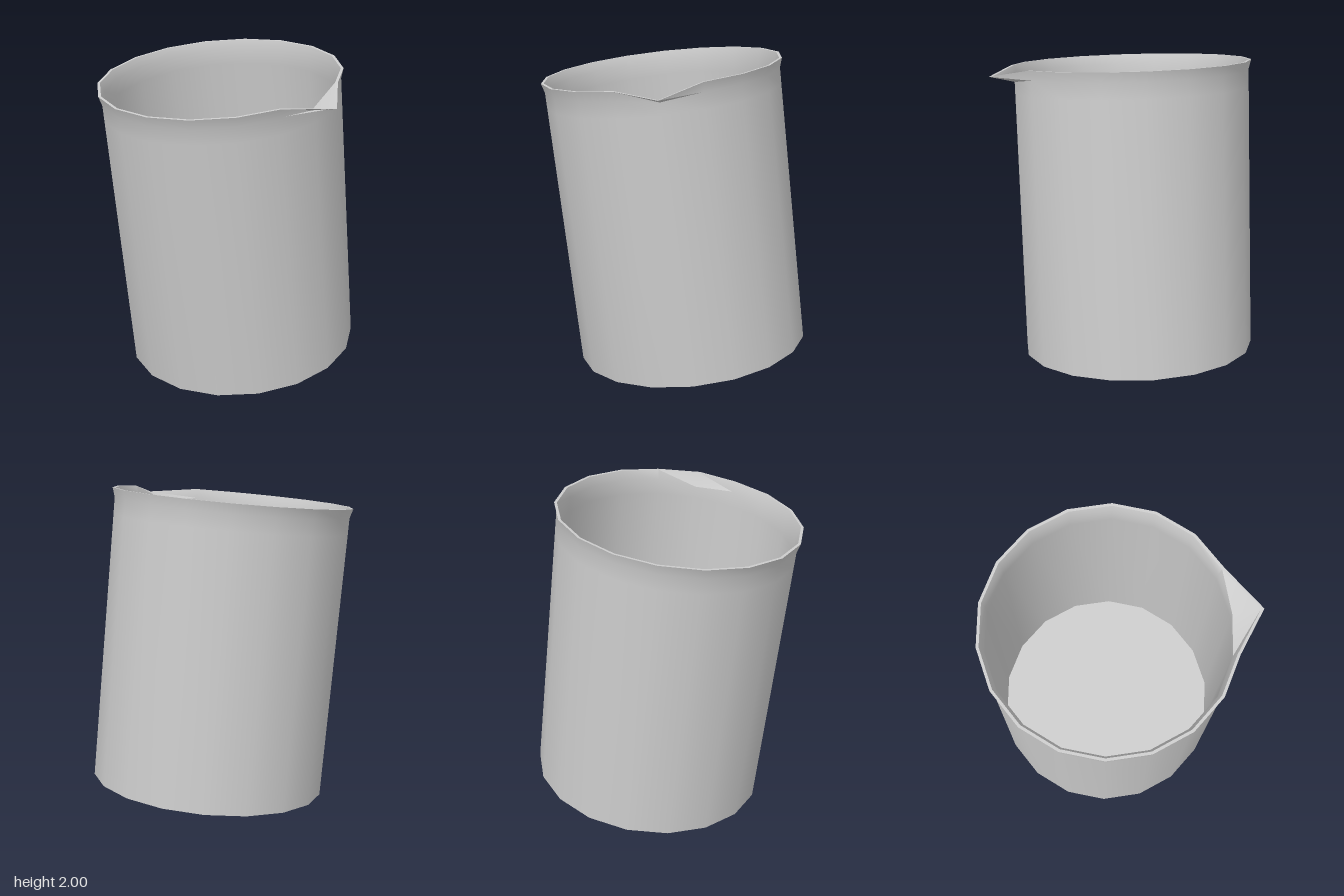
import * as THREE from 'three';
import { toCreasedNormals } from 'three/addons/utils/BufferGeometryUtils.js';

const SIDES = 18;
const HEIGHT = 1.846;
const OUTER = 0.742;
const INNER = 0.722;

export function createModel() {
  const group = new THREE.Group();

  // Closed profile: base, outer wall, flared lip, inner wall, floor
  const profile = [
    [0, 0], [OUTER, 0],
    [OUTER, HEIGHT - 0.16], [OUTER, HEIGHT - 0.06],
    [0.759, HEIGHT], [0.742, HEIGHT],
    [INNER, HEIGHT - 0.06], [INNER, HEIGHT - 0.16],
    [INNER, 0.02], [0, 0.02],
  ].map(([r, y]) => new THREE.Vector2(r, y));

  // The spout column sits halfway round the lathe
  const spoutAngle = THREE.MathUtils.degToRad(75.7);
  const lathe = new THREE.LatheGeometry(profile, SIDES, spoutAngle - Math.PI, Math.PI * 2);

  // Pull one column of the lip outwards and down to form the spout
  const pos = lathe.attributes.position;
  const column = (SIDES / 2) * profile.length;
  const moveSpout = (point, out, down) => {
    const i = column + point;
    pos.setXYZ(i,
      pos.getX(i) + Math.sin(spoutAngle) * out,
      pos.getY(i) - down,
      pos.getZ(i) + Math.cos(spoutAngle) * out);
  };
  moveSpout(3, 0, 0.025);
  moveSpout(4, 0.145, 0.045);
  moveSpout(5, 0.142, 0.045);
  moveSpout(6, 0, 0.025);

  const beaker = new THREE.Mesh(
    toCreasedNormals(lathe, 0.9),
    new THREE.MeshStandardMaterial({ color: 0xcccccc }),
  );
  beaker.name = 'beaker';

  // Lean the whole vessel slightly forwards
  const axis = new THREE.Vector3(-0.031, 1, 0.107).normalize();
  beaker.quaternion.setFromUnitVectors(new THREE.Vector3(0, 1, 0), axis);
  beaker.position.set(-0.008, 0.082, -0.108);
  group.add(beaker);
  return group;
}
